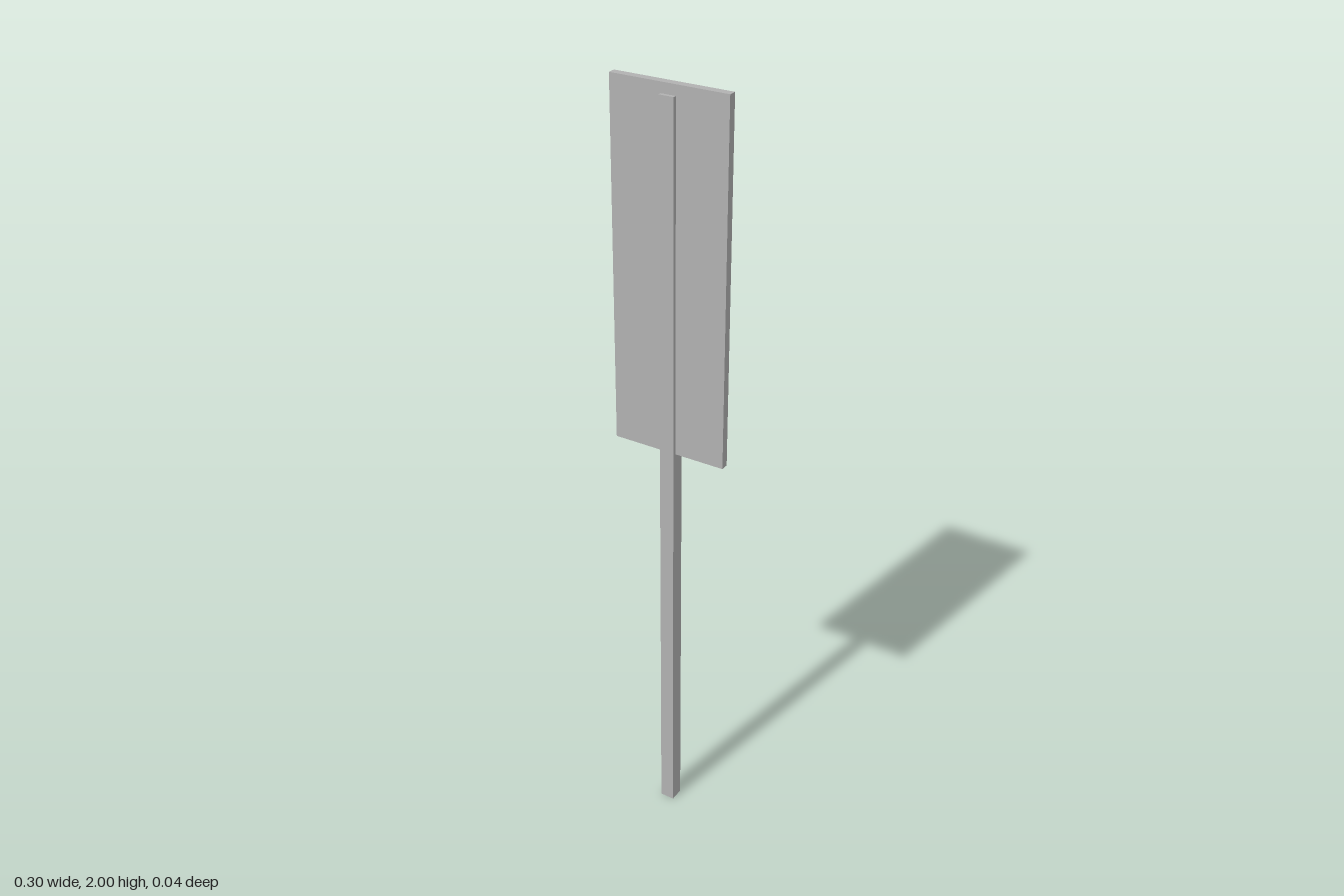
import * as THREE from 'three';

export function createModel() {
  const group = new THREE.Group();
  group.name = 'signpost';

  const grey = new THREE.MeshStandardMaterial({ color: 0xb2b2b2 });
  grey.name = 'plain grey';

  // Adds a centred box standing between two heights
  const addBox = (name, width, depth, bottom, top) => {
    const height = top - bottom;
    const mesh = new THREE.Mesh(new THREE.BoxGeometry(width, height, depth), grey);
    mesh.name = name;
    mesh.position.y = bottom + height / 2;
    group.add(mesh);
  };

  // Square post running through the panel, proud of both faces
  addBox('post', 0.038, 0.038, 0, 1.975);

  // Thin upright panel
  addBox('panel', 0.299, 0.02, 1.105, 2);

  return group;
}
